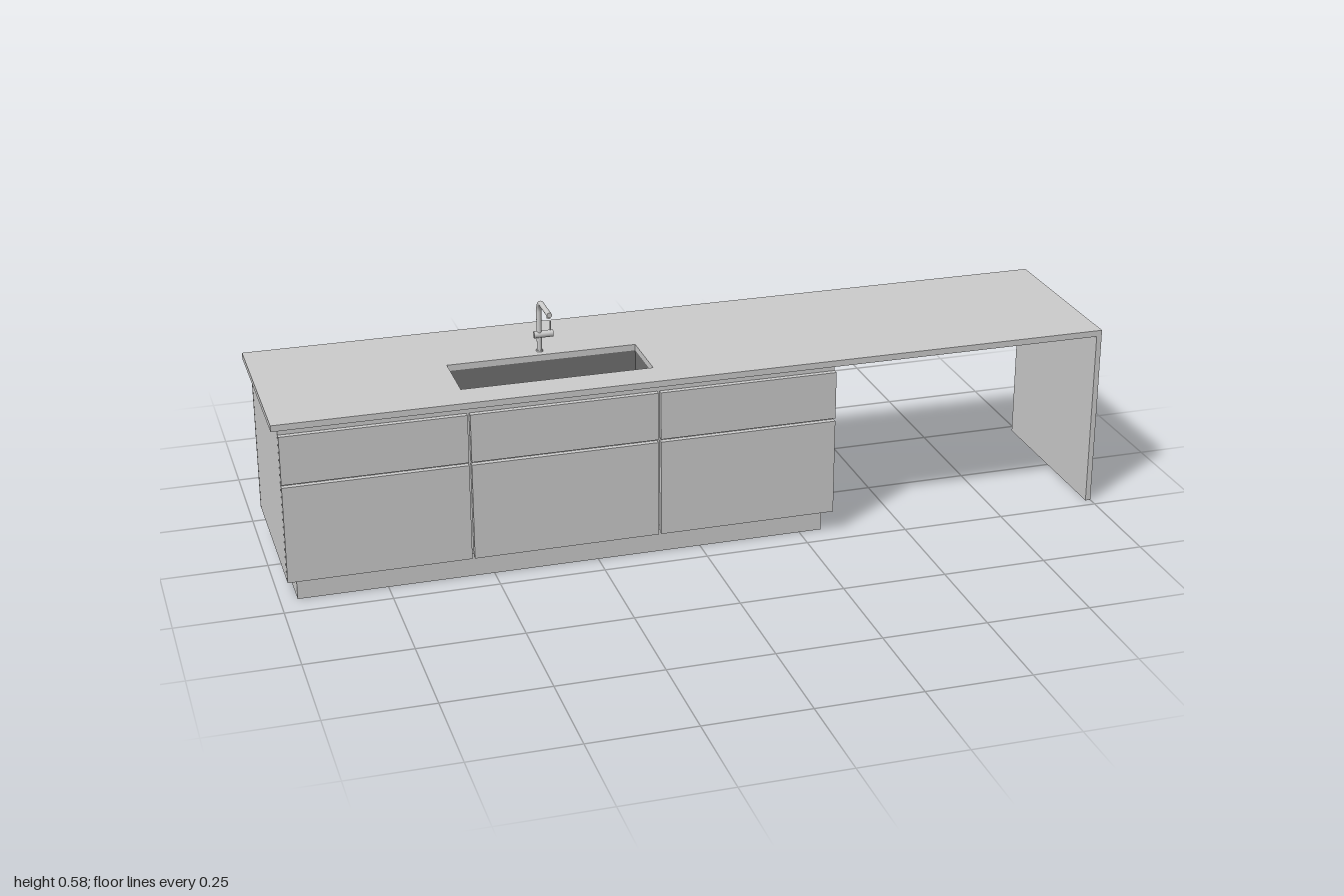
import * as THREE from 'three';

const grey = new THREE.MeshStandardMaterial({ color: 0xcccccc });
const dark = new THREE.MeshStandardMaterial({ color: 0x707070 });

// Box given by its lower and upper limits on each axis
function block(name, [x0, x1], [y0, y1], [z0, z1], material = grey) {
  const mesh = new THREE.Mesh(new THREE.BoxGeometry(x1 - x0, y1 - y0, z1 - z0), material);
  mesh.name = name;
  mesh.position.set((x0 + x1) / 2, (y0 + y1) / 2, (z0 + z1) / 2);
  return mesh;
}

function rod(name, radius, length, x, y, z, axis = 'y') {
  const mesh = new THREE.Mesh(new THREE.CylinderGeometry(radius, radius, length, 24), grey);
  mesh.name = name;
  mesh.position.set(x, y, z);
  if (axis === 'x') mesh.rotation.z = Math.PI / 2;
  if (axis === 'z') mesh.rotation.x = Math.PI / 2;
  return mesh;
}

function rectangle(Type, x0, x1, y0, y1) {
  return new Type([[x0, y0], [x1, y0], [x1, y1], [x0, y1]].map(([x, y]) => new THREE.Vector2(x, y)));
}

const SINK = { x0: -0.555, x1: -0.1, z0: -0.01, z1: 0.142, floor: 0.34 };

// Worktop with sink cut-out, and the end panel that carries it
function createWorktop() {
  const group = new THREE.Group();
  group.name = 'worktop';
  const shape = rectangle(THREE.Shape, -1, 1, -0.225, 0.225);
  shape.holes.push(rectangle(THREE.Path, SINK.x0, SINK.x1, -SINK.z1, -SINK.z0));
  const slab = new THREE.Mesh(new THREE.ExtrudeGeometry(shape, { depth: 0.015, bevelEnabled: false }), grey);
  slab.name = 'worktopSlab';
  slab.rotation.x = -Math.PI / 2;
  slab.position.y = 0.435;
  group.add(slab, block('endPanel', [0.987, 1], [0, 0.435], [-0.225, 0.225]));
  return group;
}

// Open basin hanging below the cut-out
function createSink() {
  const group = new THREE.Group();
  group.name = 'sink';
  const { x0, x1, z0, z1, floor } = SINK;
  const t = 0.005, y = [floor, 0.435];
  group.add(
    block('sinkFloor', [x0 - t, x1 + t], [floor - t, floor], [z0 - t, z1 + t], dark),
    block('sinkLeftWall', [x1, x1 + t], y, [z0 - t, z1 + t], dark),
    block('sinkRightWall', [x0 - t, x0], y, [z0 - t, z1 + t], dark),
    block('sinkBackWall', [x0, x1], y, [z0 - t, z0], dark),
    block('sinkFrontWall', [x0, x1], y, [z1, z1 + t], dark),
  );
  return group;
}

// Hollow carcass on a set-back plinth, with three columns of drawer and door
function createCabinet() {
  const group = new THREE.Group();
  group.name = 'cabinet';
  const x0 = -0.983, x1 = 0.327, t = 0.012, y = [0.055, 0.435];
  group.add(
    block('plinth', [-0.96, 0.305], [0, 0.06], [-0.19, 0.19]),
    block('cabinetFloor', [x0 + t, x1 - t], [0.06, 0.072], [-0.2, 0.198]),
    block('rightSide', [x0, x0 + t], y, [-0.2, 0.198]),
    block('leftSide', [x1 - t, x1], y, [-0.2, 0.198]),
    block('backPanel', [x0, x1], y, [-0.213, -0.202]),
    block('backLining', [x0 + t, x1 - t], [0.065, 0.435], [-0.202, -0.195]),
    block('frontLining', [x0 + t, x1 - t], [0.065, 0.435], [0.186, 0.197]),
  );
  const joints = [x0, -0.553, -0.105, x1];
  const gap = 0.003;
  for (let i = 0; i < 3; i++) {
    const x = [joints[i] + (i > 0 ? gap : 0), joints[i + 1] - (i < 2 ? gap : 0)];
    group.add(
      block('door', x, [0.055, 0.291], [0.2, 0.213]),
      block('drawerFront', x, [0.298, 0.415], [0.2, 0.213]),
    );
  }
  return group;
}

// Bent tap with side lever
function createTap() {
  const group = new THREE.Group();
  group.name = 'tap';
  const x = -0.327, z = -0.035, top = 0.578, bend = 0.028;
  const path = new THREE.CurvePath();
  const v = (py, pz) => new THREE.Vector3(x, py, pz);
  const k = bend * 0.448;
  path.add(new THREE.LineCurve3(v(0.45, z), v(top - bend, z)));
  path.add(new THREE.CubicBezierCurve3(v(top - bend, z), v(top - k, z), v(top, z + k), v(top, z + bend)));
  path.add(new THREE.LineCurve3(v(top, z + bend), v(top, 0.068)));
  const spout = new THREE.Mesh(new THREE.TubeGeometry(path, 80, 0.0062, 20), grey);
  spout.name = 'spout';
  group.add(
    spout,
    rod('spoutCap', 0.0062, 0.004, x, top, 0.068, 'z'),
    rod('nozzle', 0.0045, 0.006, x, 0.5715, 0.062),
    rod('tapBase', 0.008, 0.004, x, 0.452, z),
    rod('valve', 0.0085, 0.046, x + 0.01, 0.492, z, 'x'),
    rod('lever', 0.0018, 0.03, x + 0.027, 0.507, z),
  );
  return group;
}

export function createModel() {
  const model = new THREE.Group();
  model.name = 'kitchenIsland';
  model.add(createWorktop(), createSink(), createCabinet(), createTap());
  return model;
}
